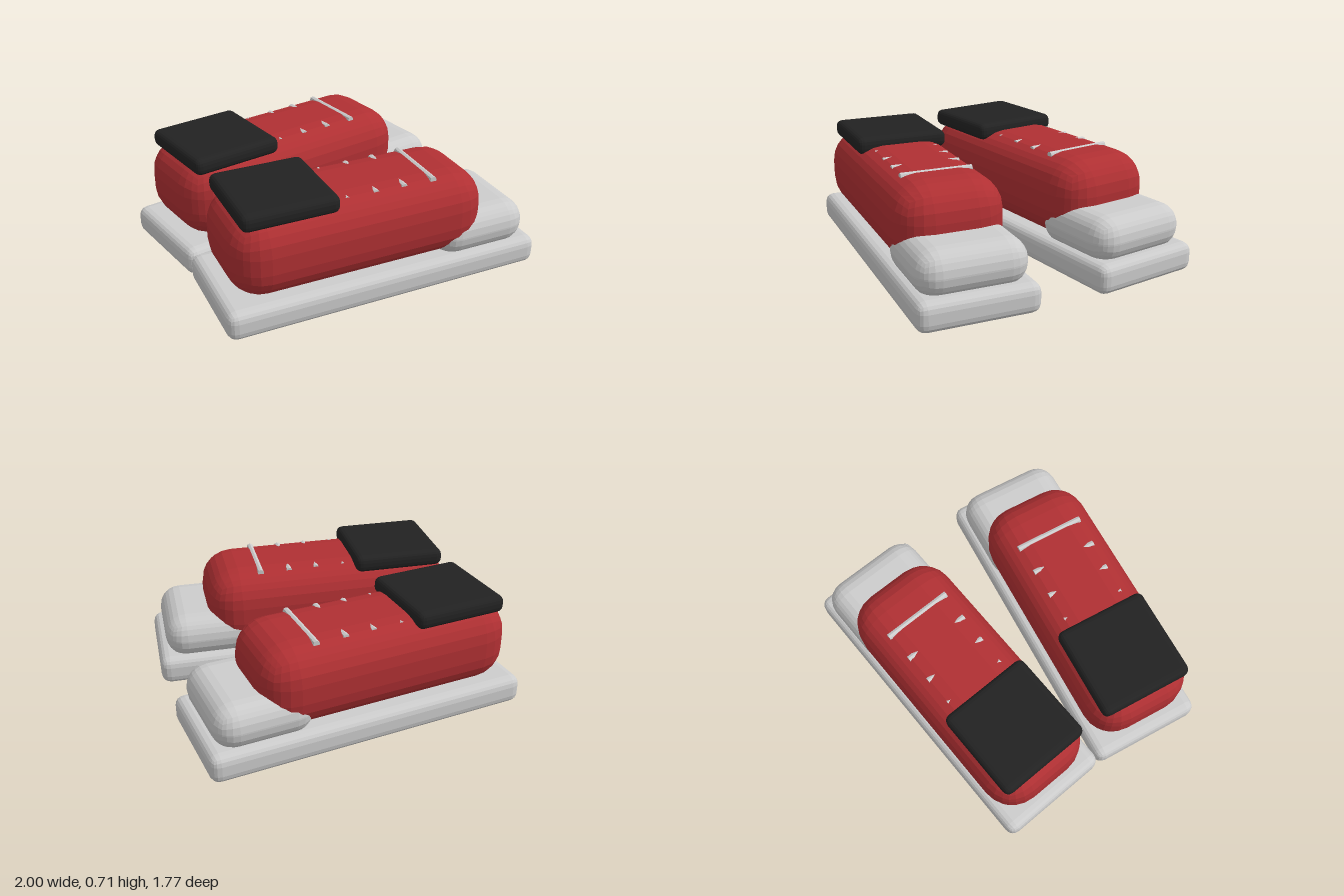
import * as THREE from 'three';
import { RoundedBoxGeometry } from 'three/addons/geometries/RoundedBoxGeometry.js';

const flat = (name, color) => {
  const m = new THREE.MeshStandardMaterial({ color, flatShading: true });
  m.name = name;
  return m;
};

export function createModel() {
  const red = flat('red canvas', 0xb03033);
  const grey = flat('light grey rubber', 0xcccccc);
  const black = flat('black lining', 0x222222);

  // One shoe, toe towards +x; side is +1 or -1 along z
  function makeShoe(side) {
    const shoe = new THREE.Group();
    shoe.name = side > 0 ? 'frontShoe' : 'backShoe';

    const pad = (name, size, radius, segments, material, x, y, z = 0) => {
      const mesh = new THREE.Mesh(new RoundedBoxGeometry(...size, segments, radius), material);
      mesh.name = name;
      mesh.position.set(x, y, z);
      shoe.add(mesh);
    };

    pad('sole', [1.95, 0.175, 0.705], 0.057, 2, grey, 0, 0.0875);
    pad('upper', [1.555, 0.5, 0.655], 0.2, 3, red, -0.133, 0.405);
    pad('toeCap', [0.59, 0.27, 0.648], 0.13, 3, grey, 0.63, 0.27);
    pad('collarOpening', [0.564, 0.105, 0.567], 0.04, 2, black, -0.568, 0.655, -0.006 * side);

    // Laces: [x, height of the top, length]; all but the first sink into the upper
    [[0.31, 0.661, 0.425], [0.13, 0.654, 0.41], [-0.043, 0.652, 0.4], [-0.217, 0.648, 0.39]]
      .forEach(([x, top, length], i) => {
        const r = 0.02;
        const lace = new THREE.Mesh(new THREE.CylinderGeometry(r, r, length, 8), grey);
        lace.name = `lace${i + 1}`;
        lace.rotation.x = Math.PI / 2;
        lace.position.set(x, top - r, 0);
        shoe.add(lace);
      });

    // Toes turned outwards
    shoe.rotation.y = -0.1 * side;
    shoe.position.z = 0.4425 * side;
    return shoe;
  }

  const model = new THREE.Group();
  model.name = 'pairOfShoes';
  model.add(makeShoe(1), makeShoe(-1));
  return model;
}
